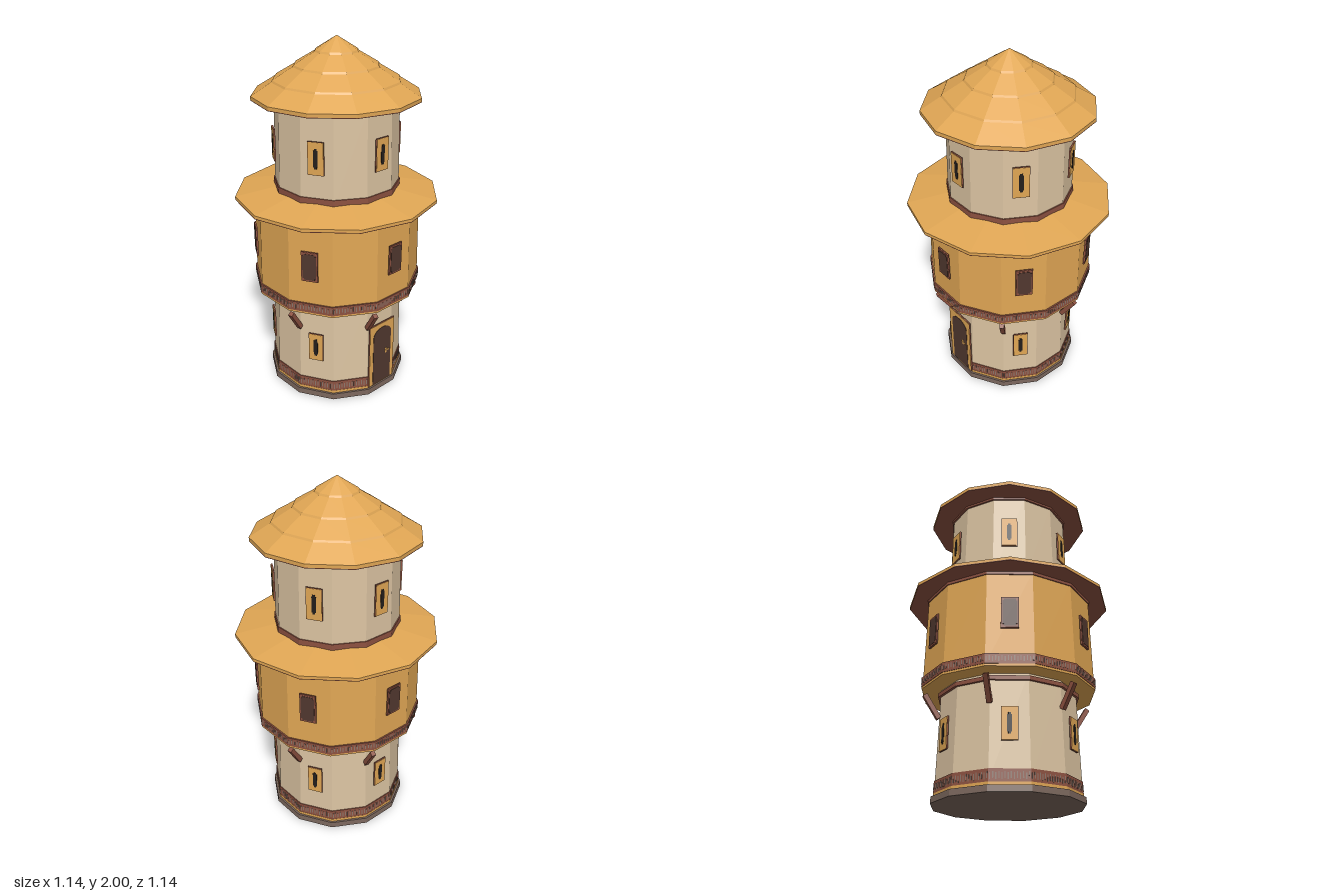
import * as THREE from 'three';

const mat = (name, color) => {
  const m = new THREE.MeshStandardMaterial({ color });
  m.name = name;
  return m;
};

export function createModel() {
  const ochre = mat('ochre', 0xe0a654);
  const cream = mat('cream plaster', 0xdcc4a2);
  const red = mat('red-brown wood', 0x8c5140);
  const stone = mat('grey-brown stone', 0x7a665c);
  const grey = mat('grey trim', 0x8c776c);
  const dark = mat('dark brown', 0x51382f);
  const black = mat('near black', 0x221d1b);

  const model = new THREE.Group();
  model.name = 'tower';
  const SIDES = 12;
  const COS = Math.cos(Math.PI / SIDES);
  const STEP = Math.PI / 6;

  const add = (parent, name, geo, material, x = 0, y = 0, z = 0) => {
    const mesh = new THREE.Mesh(geo, material);
    mesh.name = name;
    mesh.position.set(x, y, z);
    parent.add(mesh);
    return mesh;
  };
  const flat = (geo) => {
    const g = geo.toNonIndexed();
    g.computeVertexNormals();
    return g;
  };
  // Twelve-sided drum with a flat face to the front; a0, a1 are face distances
  const drum = (name, a0, a1, y0, y1, material) =>
    add(model, name, flat(new THREE.CylinderGeometry(a1 / COS, a0 / COS, y1 - y0, SIDES, 1, false, STEP / 2)),
      material, 0, (y0 + y1) / 2);
  // Group turned about the vertical axis
  const turned = (name, angle) => {
    const g = new THREE.Group();
    g.name = name;
    g.rotation.y = angle;
    model.add(g);
    return g;
  };

  // Ground storey
  drum('plinth', 0.392, 0.39, 0, 0.034, stone);
  drum('lowerSill', 0.379, 0.379, 0.034, 0.05, ochre);
  drum('lowerBand', 0.378, 0.377, 0.05, 0.112, red);
  drum('lowerWall', 0.374, 0.36, 0.05, 0.6, cream);
  drum('lowerCornice', 0.375, 0.375, 0.558, 0.58, red);

  // Overhanging middle storey
  drum('middleFloor', 0.462, 0.462, 0.595, 0.608, ochre);
  drum('middleBand', 0.465, 0.465, 0.607, 0.66, red);
  drum('middleWall', 0.458, 0.448, 0.6, 1.13, ochre);
  drum('middleCornice', 0.454, 0.454, 1.112, 1.128, red);

  // Top storey
  drum('upperBand', 0.342, 0.341, 1.17, 1.22, red);
  drum('upperWall', 0.336, 0.326, 1.17, 1.685, cream);
  drum('upperCornice', 0.336, 0.336, 1.668, 1.682, red);

  // Roofs, with corners on the axes
  const roof = (name, profile) => {
    const pts = profile.map(([r, y]) => new THREE.Vector2(r, y));
    add(model, name, flat(new THREE.LatheGeometry(pts, SIDES)), ochre);
    const [r, y] = profile[0];
    add(model, name + 'Underside', flat(new THREE.CylinderGeometry(r, r, 0.004, SIDES)), red, 0, y - 0.002);
  };
  roof('skirtRoof', [[0.57, 1.134], [0.57, 1.149], [0.33, 1.193], [0, 1.193]]);
  const tiers = [[0.46, 1.684], [0.46, 1.702]];
  for (const r of [0.345, 0.23, 0.115]) {
    const y = 1.702 + (0.46 - r) * 0.648;
    tiers.push([r + 0.005, y - 0.007], [r - 0.001, y + 0.003]);
  }
  tiers.push([0, 2]);
  roof('topRoof', tiers);

  // Fine upright strokes running round the patterned bands
  const strokes = (name, apothem, y, height, count) => {
    for (let f = 0; f < SIDES; f++) {
      const side = turned(name, f * STEP);
      const width = 2 * apothem * Math.tan(STEP / 2);
      for (let i = 0; i < count; i++) {
        const x = ((i + 0.5) / count - 0.5) * width;
        add(side, 'stroke', new THREE.BoxGeometry(width / count * 0.38, height, 0.003),
          grey, x, y + (i % 2) * 0.005, apothem);
      }
    }
  };
  strokes('lowerPattern', 0.3775, 0.077, 0.032, 14);
  strokes('middlePattern', 0.465, 0.632, 0.026, 16);

  // Panel with a wooden back and a coloured face
  const panel = (g, w, h, y, r, face) => {
    add(g, 'panelBack', new THREE.BoxGeometry(w, h, 0.008), red, 0, y, r - 0.006);
    add(g, 'panelFace', new THREE.BoxGeometry(w - 0.004, h - 0.004, 0.002), face, 0, y, r - 0.001);
  };

  // Windows on every second face
  for (let i = 0; i < 6; i++) {
    const a = i * 2 * STEP;
    const slit = (name, w, h, y, r) => {
      const g = turned(name, a);
      panel(g, w, h, y, r, ochre);
      add(g, 'slit', new THREE.BoxGeometry(0.024, 0.088, 0.002), black, 0, y, r + 0.001);
      add(g, 'slitTip', new THREE.BoxGeometry(0.014, 0.108, 0.002), black, 0, y, r + 0.001);
    };
    slit('upperWindow', 0.088, 0.178, 1.44, 0.352);
    if (i > 0) slit('lowerWindow', 0.084, 0.172, 0.331, 0.386);

    const g = turned('middleWindow', a);
    panel(g, 0.092, 0.172, 0.884, 0.47, red);
    add(g, 'pane', new THREE.BoxGeometry(0.076, 0.132, 0.002), dark, 0, 0.884, 0.471);
    add(g, 'paneTop', new THREE.BoxGeometry(0.06, 0.15, 0.002), dark, 0, 0.884, 0.471);
  }

  // Slanted braces on alternate corners
  const low = new THREE.Vector2(0.38, 0.44), high = new THREE.Vector2(0.46, 0.564);
  const run = high.clone().sub(low);
  for (let i = 0; i < 6; i++) {
    const g = turned('brace', -STEP / 2 + i * 2 * STEP);
    const beam = add(g, 'beam', new THREE.BoxGeometry(0.026, run.length(), 0.026), red,
      0, (low.y + high.y) / 2, (low.x + high.x) / 2);
    beam.rotation.x = Math.atan2(run.x, run.y);
  }

  // Arched door
  const door = turned('door', 0);
  panel(door, 0.196, 0.405, 0.243, 0.388, ochre);
  const arch = new THREE.Shape();
  arch.moveTo(-0.07, 0.048);
  arch.lineTo(0.07, 0.048);
  arch.lineTo(0.07, 0.365);
  arch.absellipse(0, 0.365, 0.07, 0.052, 0, Math.PI, false);
  arch.closePath();
  add(door, 'doorLeaf', new THREE.ExtrudeGeometry(arch, { depth: 0.002, bevelEnabled: false, curveSegments: 10 }),
    dark, 0, 0, 0.388);
  add(door, 'handlePlate', new THREE.BoxGeometry(0.012, 0.034, 0.002), ochre, 0.03, 0.246, 0.391);
  add(door, 'handle', new THREE.BoxGeometry(0.034, 0.008, 0.003), ochre, 0.038, 0.246, 0.392);

  return model;
}
